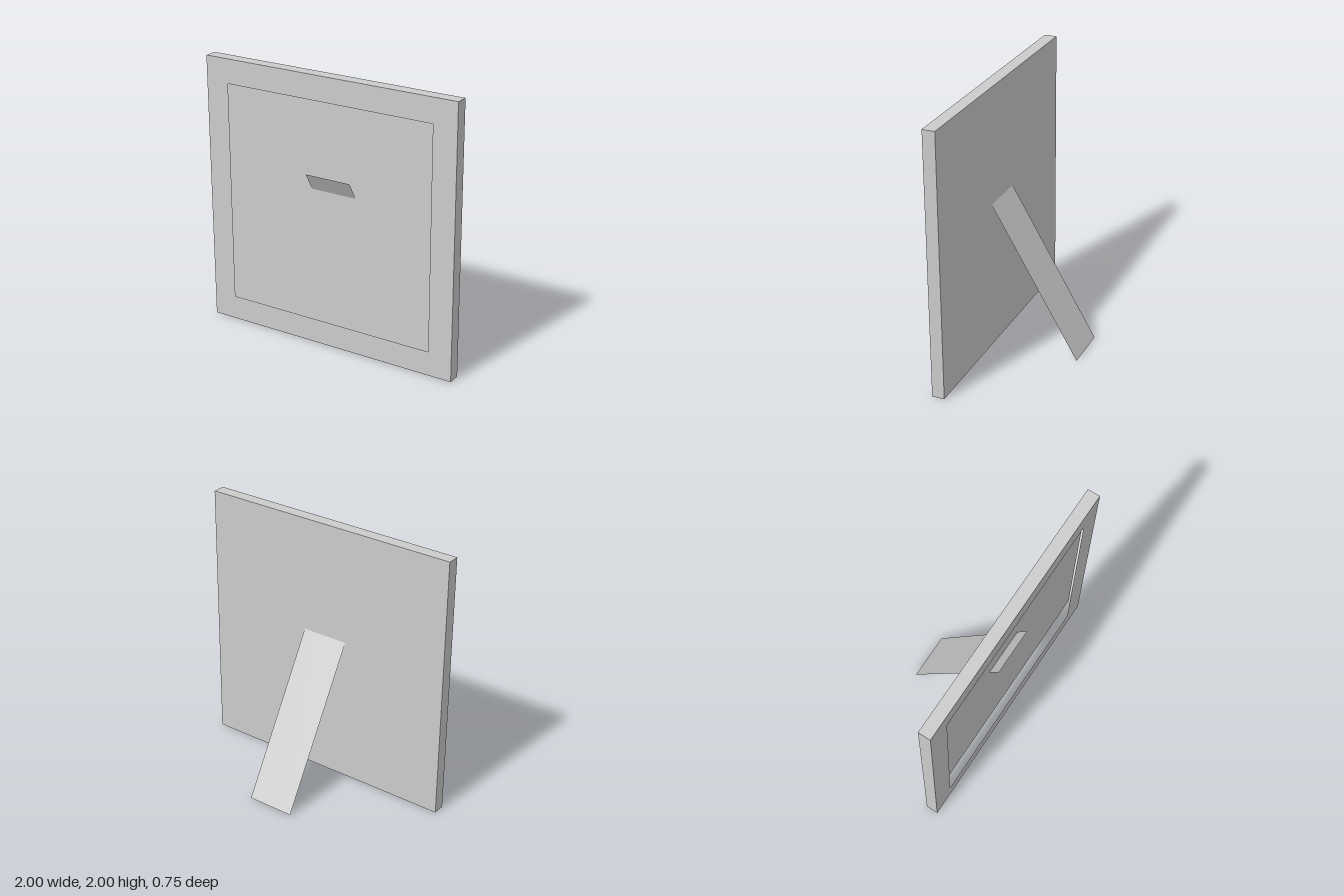
import * as THREE from 'three';

const FRONT = 0.375, BACK = 0.282, PANEL = 0.289;

export function createModel() {
  const group = new THREE.Group();
  const grey = new THREE.MeshStandardMaterial({ color: 0xcccccc });
  const greyDouble = new THREE.MeshStandardMaterial({ color: 0xcccccc, side: THREE.DoubleSide });

  const add = (name, geometry, material = grey, parent = group) => {
    const mesh = new THREE.Mesh(geometry, material);
    mesh.name = name;
    parent.add(mesh);
    return mesh;
  };

  // Front border: a flat square ring around the picture opening
  const square = (path, h) => path.moveTo(-h, -h).lineTo(h, -h).lineTo(h, h).lineTo(-h, h).closePath();
  const border = square(new THREE.Shape(), 1);
  border.holes.push(square(new THREE.Path(), 0.82));
  add('frontBorder', new THREE.ShapeGeometry(border)).position.set(0, 1, FRONT);

  // Outer rim: four thin-walled sides around the frame
  const rim = new THREE.Group();
  rim.name = 'outerRim';
  rim.position.set(0, 1, (FRONT + BACK) / 2);
  group.add(rim);
  for (let i = 0; i < 4; i++) {
    const side = new THREE.PlaneGeometry(2, FRONT - BACK)
      .rotateX(-Math.PI / 2).translate(0, 1, 0).rotateZ(i * Math.PI / 2);
    add('rimSide', side, grey, rim);
  }

  // Picture panel seen through the opening, and the back face
  add('picturePanel', new THREE.PlaneGeometry(2, 2)).position.set(0, 1, PANEL);
  add('backPanel', new THREE.PlaneGeometry(2, 2).rotateY(Math.PI)).position.set(0, 1, BACK);

  // Sloping easel leg: a thin strip that runs through the back panel
  const foot = new THREE.Vector2(-0.375, 0), top = new THREE.Vector2(0.365, 1.27);
  const leg = add('easelLeg', new THREE.PlaneGeometry(0.36, foot.distanceTo(top)), greyDouble);
  leg.position.set(0, (foot.y + top.y) / 2, (foot.x + top.x) / 2);
  leg.rotation.x = Math.atan2(top.x - foot.x, top.y - foot.y);

  return group;
}
